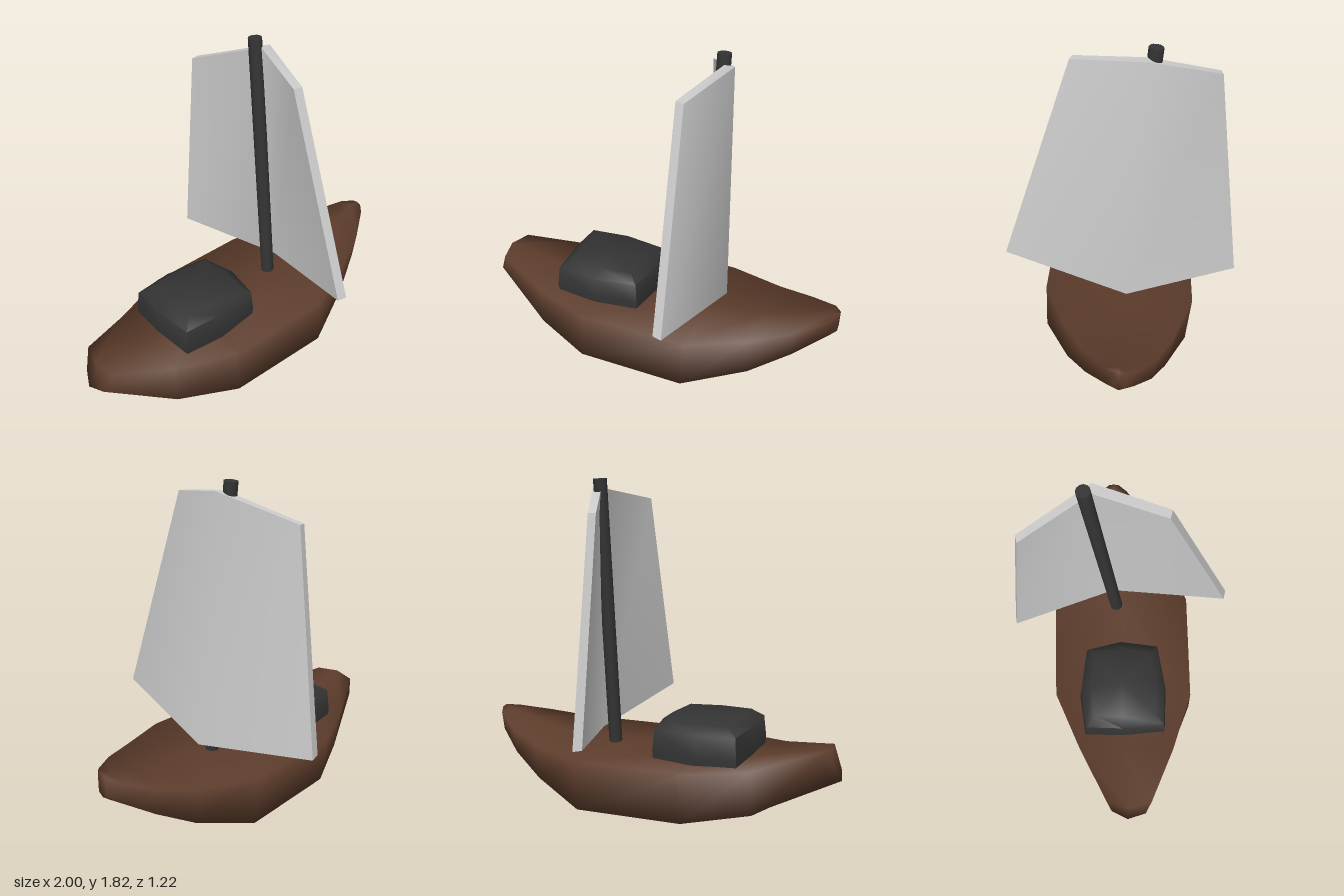
import * as THREE from 'three';
import { toCreasedNormals } from 'three/addons/utils/BufferGeometryUtils.js';

// Closed solid through rings of [x, y, z]; rings run counter-clockwise about the loft direction.
function loft(rings, crease) {
  const n = rings[0].length;
  const last = rings.length - 1;
  const points = rings.flat();
  const index = [];
  for (let i = 0; i < last; i++) {
    for (let j = 0; j < n; j++) {
      const a = i * n + j, b = i * n + (j + 1) % n;
      index.push(a, b, a + n, b, b + n, a + n);
    }
  }
  for (const end of [0, last]) {
    const centre = points.length;
    points.push([0, 1, 2].map(k => rings[end].reduce((s, p) => s + p[k], 0) / n));
    for (let j = 0; j < n; j++) {
      const a = end * n + j, b = end * n + (j + 1) % n;
      index.push(centre, ...(end ? [a, b] : [b, a]));
    }
  }
  const geo = new THREE.BufferGeometry();
  geo.setAttribute('position', new THREE.Float32BufferAttribute(points.flat(), 3));
  geo.setIndex(index);
  geo.computeVertexNormals();
  return crease ? toCreasedNormals(geo, crease) : geo;
}

function part(name, geometry, color) {
  const mesh = new THREE.Mesh(geometry, new THREE.MeshStandardMaterial({ color }));
  mesh.name = name;
  return mesh;
}

export function createModel() {
  const group = new THREE.Group();
  const WOOD = 0x5c3c2b, DARK = 0x343434;

  // Hull sections: x, front rail z y, front chine z y, keel z y, back chine z y, back rail z y
  const sections = [
    [-0.93, 0.20, 0.48, 0.17, 0.36, 0.07, 0.33, -0.02, 0.35, -0.05, 0.47],
    [-0.62, 0.32, 0.43, 0.31, 0.18, 0.07, 0.13, -0.17, 0.16, -0.21, 0.39],
    [-0.30, 0.42, 0.42, 0.43, 0.15, 0.06, 0.01, -0.32, 0.11, -0.36, 0.37],
    [0.29, 0.40, 0.42, 0.41, 0.15, 0.04, 0.07, -0.36, 0.10, -0.39, 0.37],
    [0.61, 0.26, 0.45, 0.25, 0.23, 0.00, 0.17, -0.26, 0.20, -0.30, 0.40],
    [0.81, 0.15, 0.49, 0.13, 0.33, -0.03, 0.29, -0.20, 0.31, -0.23, 0.45],
    [0.96, 0.03, 0.525, 0.02, 0.42, -0.05, 0.39, -0.12, 0.41, -0.14, 0.51],
    [1.00, -0.02, 0.53, -0.02, 0.44, -0.05, 0.42, -0.08, 0.44, -0.08, 0.53]
  ];
  const hullRings = sections.map(([x, ...s], i) => {
    const ring = [0, 2, 4, 6, 8].map(k => [x, s[k + 1], s[k]]);
    ring.push([x, (s[1] + s[9]) / 2 + 0.01, (s[0] + s[8]) / 2]);
    // The stern rakes out toward the keel
    if (i === 0) [0.01, -0.04, -0.07, -0.03, 0.01, -0.02].forEach((d, j) => { ring[j][0] += d; });
    return ring;
  });
  group.add(part('hull', loft(hullRings), WOOD));

  // Cabin: one footprint stacked with shrinking rings, roof tipped toward the back
  const footprint = [[-0.29, 0.275], [-0.05, 0.23], [-0.02, 0.01], [-0.07, -0.19],
    [-0.32, -0.215], [-0.54, -0.18], [-0.545, 0.03], [-0.52, 0.27]];
  const levels = [[0.34, 0.97], [0.44, 1], [0.555, 0.96], [0.595, 0.74]];
  const cabinRings = levels.map(([y, s]) => footprint.map(([x, z]) =>
    [-0.28 + (x + 0.28) * s, y + 0.07 * z, 0.03 + (z - 0.03) * s]));
  group.add(part('cabin', loft(cabinRings, 0.9), DARK));

  // Mast leaning slightly backward
  const foot = new THREE.Vector3(0.257, 0.36, -0.015);
  const head = new THREE.Vector3(0.252, 1.825, -0.165);
  const lean = head.clone().sub(foot);
  const mast = part('mast', toCreasedNormals(
    new THREE.CylinderGeometry(0.036, 0.036, lean.length(), 12), 0.9), DARK);
  mast.position.copy(foot).add(head).multiplyScalar(0.5);
  mast.quaternion.setFromUnitVectors(new THREE.Vector3(0, 1, 0), lean.normalize());
  group.add(mast);

  // Folded sail: each station holds outer bottom, outer top, inner top, inner bottom
  const sailRings = [
    [[0.14, 0.49, -0.61], [0.12, 1.64, -0.48], [0.08, 1.64, -0.47], [0.09, 0.50, -0.60]],
    [[0.375, 0.47, -0.04], [0.32, 1.78, -0.13], [0.265, 1.78, -0.13], [0.32, 0.48, -0.04]],
    [[0.27, 0.63, 0.61], [0.215, 1.735, 0.24], [0.17, 1.735, 0.23], [0.22, 0.63, 0.60]]
  ];
  group.add(part('sail', loft(sailRings, 0.9), 0xcccccc));

  return group;
}
